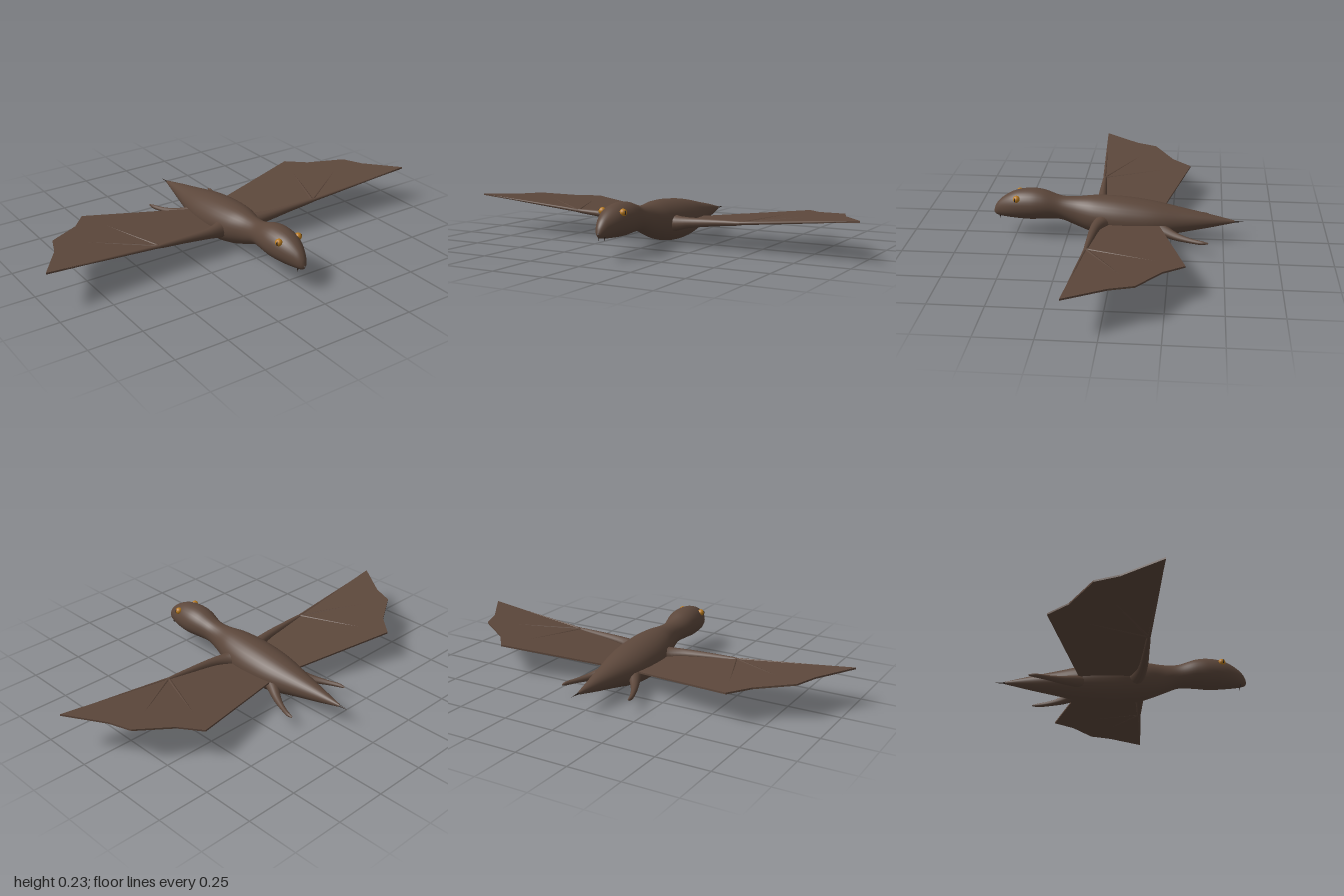
import * as THREE from 'three';

const hide = new THREE.MeshStandardMaterial({ color: 0x5c473b });
hide.name = 'brown hide';
const amber = new THREE.MeshStandardMaterial({ color: 0xb87a1e });
amber.name = 'amber';
const dark = new THREE.MeshStandardMaterial({ color: 0x2c221d });
dark.name = 'dark horn';

// Skin a list of equally sized closed rings with smooth normals
function skin(rings) {
  const n = rings[0].length, index = [];
  for (let i = 0; i < rings.length - 1; i++) {
    for (let j = 0; j < n; j++) {
      const a = i * n + j, b = i * n + (j + 1) % n;
      index.push(a, a + n, b, b, a + n, b + n);
    }
  }
  const g = new THREE.BufferGeometry().setFromPoints(rings.flat());
  g.setIndex(index);
  g.computeVertexNormals();
  return g;
}

// Tapered limb: points are [x, y, z, radius], mirrored by side s
function limb(points, s, steps = 20, sides = 12) {
  const curve = new THREE.CatmullRomCurve3(points.map(([x, y, z]) => new THREE.Vector3(x * s, y, z)));
  const radii = new THREE.CatmullRomCurve3(points.map((p, i) => new THREE.Vector3(i, p[3], 0)));
  const { normals, binormals } = curve.computeFrenetFrames(steps);
  const rings = [];
  for (let i = 0; i <= steps; i++) {
    const c = curve.getPoint(i / steps), r = radii.getPoint(i / steps).y;
    rings.push(Array.from({ length: sides }, (_, j) => {
      const a = j / sides * Math.PI * 2;
      return c.clone().addScaledVector(normals[i], r * Math.cos(a)).addScaledVector(binormals[i], -r * Math.sin(a));
    }));
  }
  return skin(rings);
}

// Body sections: z, top, bottom, half width
const BODY = [
  [0.605, 0.12, 0.112, 0.003], [0.596, 0.147, 0.1, 0.016], [0.57, 0.18, 0.093, 0.033],
  [0.5, 0.222, 0.087, 0.063], [0.42, 0.235, 0.084, 0.075], [0.36, 0.229, 0.088, 0.071],
  [0.277, 0.202, 0.086, 0.054], [0.21, 0.199, 0.06, 0.06], [0.116, 0.207, 0.026, 0.09],
  [0.02, 0.206, 0.006, 0.105], [-0.077, 0.198, 0.002, 0.106], [-0.174, 0.184, 0.013, 0.096],
  [-0.3, 0.158, 0.04, 0.066], [-0.43, 0.132, 0.066, 0.034], [-0.55, 0.105, 0.093, 0.005],
];

function bodyGeometry(steps = 84, sides = 32) {
  const edge = (k) => new THREE.CatmullRomCurve3(BODY.map((b) => new THREE.Vector3(b[k], b[0], 0)));
  const [top, bottom, width] = [1, 2, 3].map(edge);
  const rings = [];
  for (let i = 0; i <= steps; i++) {
    const t = i / steps, p = top.getPoint(t);
    const low = bottom.getPoint(t).x, w = width.getPoint(t).x;
    rings.push(Array.from({ length: sides }, (_, j) => {
      const a = j / sides * Math.PI * 2;
      return new THREE.Vector3(w * Math.cos(a), (p.x + low) / 2 + (p.x - low) / 2 * Math.sin(a), p.y);
    }));
  }
  return skin(rings);
}

// Height of the rising wing plane at a distance from the middle
const wingY = (x) => 0.1 + 0.0922 * (Math.abs(x) - 0.1);

function membraneGeometry(s) {
  const outline = [[0.04, 0.09], [0.1, 0.095], [0.44, 0.112], [1, 0.146], [0.88, -0.03],
    [0.84, -0.135], [0.68, -0.235], [0.6, -0.33], [0.1, -0.2], [0.04, -0.185]];
  const shape = new THREE.Shape(outline.map(([x, z]) => new THREE.Vector2(x * s, -z)));
  const g = new THREE.ExtrudeGeometry(shape, { depth: 0.008, bevelEnabled: false });
  g.rotateX(-Math.PI / 2);
  const p = g.attributes.position;
  for (let i = 0; i < p.count; i++) p.setY(i, p.getY(i) - 0.004 + wingY(p.getX(i)));
  g.computeVertexNormals();
  return g;
}

export function createModel() {
  const model = new THREE.Group();
  model.name = 'wingedReptile';
  const add = (name, geometry, material, parent = model) => {
    const mesh = new THREE.Mesh(geometry, material);
    mesh.name = name;
    parent.add(mesh);
    return mesh;
  };

  add('body', bodyGeometry(), hide);

  // Thin spike at the end of the tail
  const spike = add('tailSpike', new THREE.ConeGeometry(0.005, 0.06, 8), dark);
  spike.rotation.x = -Math.PI / 2;
  spike.position.set(0, 0.099, -0.573);

  for (const s of [1, -1]) {
    const side = s > 0 ? 'left' : 'right';

    // Wing: membrane, arm and fingers
    const wing = new THREE.Group();
    wing.name = side + 'Wing';
    model.add(wing);
    add('membrane', membraneGeometry(s), hide, wing);
    add('arm', limb([[0.05, 0.105, 0.06, 0.05], [0.1, 0.105, 0.08, 0.036], [0.17, 0.113, 0.097, 0.025],
      [0.3, 0.123, 0.105, 0.017], [0.44, 0.131, 0.11, 0.009], [0.448, 0.132, 0.11, 0.001]], s), hide, wing);
    for (const [x, z] of [[0.99, 0.143], [0.83, -0.13], [0.597, -0.32]]) {
      add('finger', limb([[0.436, wingY(0.436), 0.112, 0.008],
        [(x + 0.436) / 2, wingY((x + 0.436) / 2), (z + 0.112) / 2, 0.0055],
        [x, wingY(x), z, 0.002]], s, 8, 8), hide, wing);
    }

    // Trailing hind leg
    add(side + 'HindLeg', limb([[0.05, 0.085, -0.16, 0.035], [0.085, 0.075, -0.22, 0.027],
      [0.118, 0.064, -0.275, 0.019], [0.15, 0.06, -0.34, 0.012], [0.173, 0.06, -0.4, 0.009],
      [0.176, 0.06, -0.428, 0.003]], s), hide);

    // Eye with a slit pupil
    const eye = new THREE.Group();
    eye.name = side + 'Eye';
    eye.position.set(s * 0.053, 0.199, 0.485);
    eye.rotation.set(0, s * 1.2, 0);
    model.add(eye);
    add('eyeball', new THREE.SphereGeometry(0.017, 20, 14), amber, eye);
    const pupil = add('pupil', new THREE.SphereGeometry(0.01, 14, 10), dark, eye);
    pupil.scale.set(0.4, 1, 0.4);
    pupil.position.z = 0.0145;

    // Small fang under the snout
    const fang = add(side + 'Fang', new THREE.ConeGeometry(0.005, 0.026, 8), dark);
    fang.rotation.x = Math.PI;
    fang.position.set(s * 0.015, 0.095, 0.575);
  }
  return model;
}
